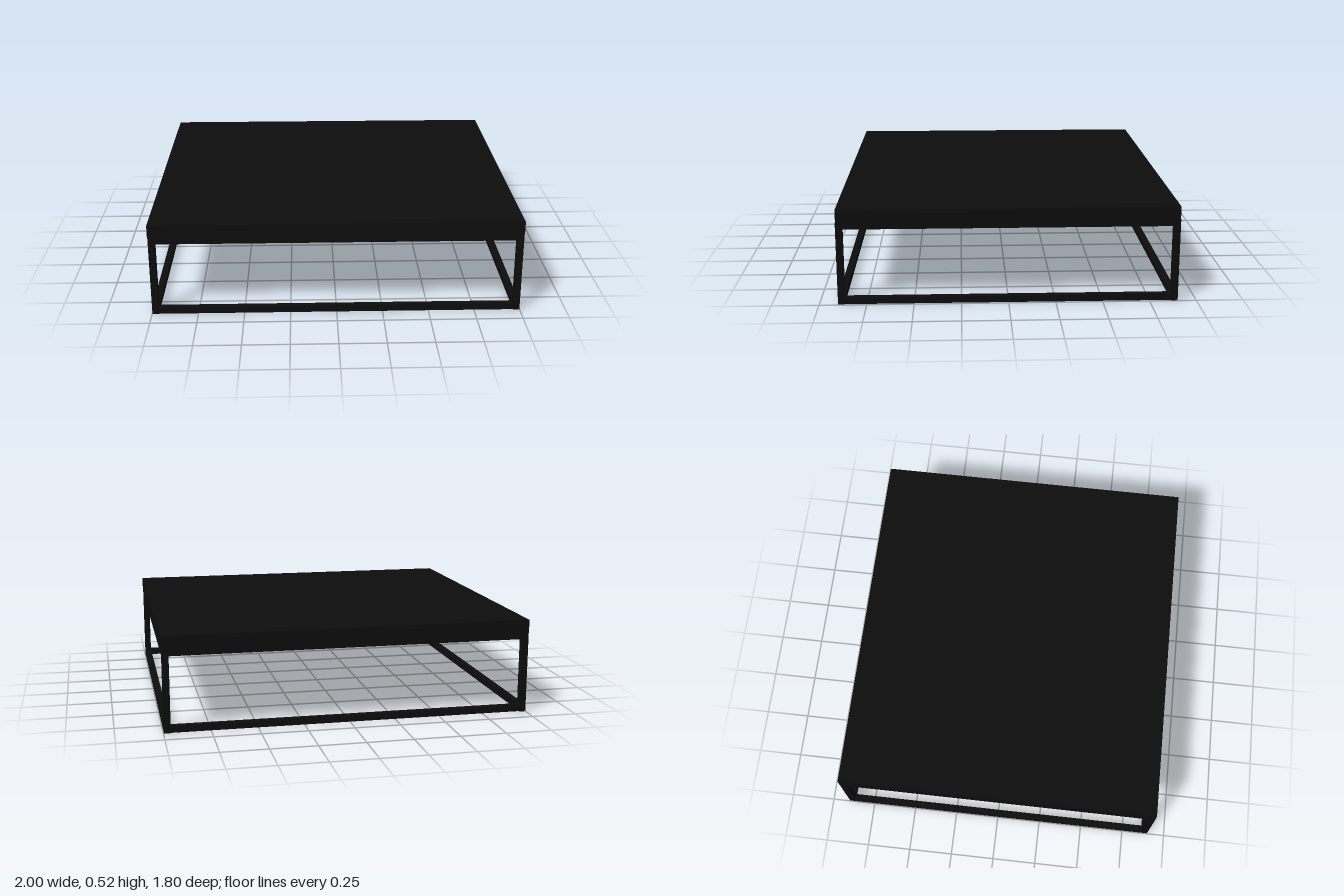
import * as THREE from 'three';

export function createModel() {
  const model = new THREE.Group();
  model.name = 'coffeeTable';
  const black = new THREE.MeshStandardMaterial({ color: 0x0d0d0d });

  // Box given by its size, centre x and z, and bottom height
  const addBox = (name, parent, [w, h, d], [x, y, z]) => {
    const mesh = new THREE.Mesh(new THREE.BoxGeometry(w, h, d), black);
    mesh.name = name;
    mesh.position.set(x, y + h / 2, z);
    parent.add(mesh);
  };

  const bar = 0.036; // square tube section
  const halfX = 0.998, halfZ = 0.9; // outer half sizes of the frame
  const cx = halfX - bar / 2, cz = halfZ - bar / 2;
  const base = 0.004, frameTop = 0.45;

  // Tabletop slab
  addBox('tabletop', model, [2, 0.52 - frameTop, 1.796], [0, frameTop, 0]);

  // Open frame: lower and upper rails, corner legs
  const frame = new THREE.Group();
  frame.name = 'frame';
  model.add(frame);
  for (const [level, y] of [['lower', base], ['upper', frameTop - bar]]) {
    for (const s of [-1, 1]) {
      addBox(level + 'LongRail', frame, [2 * halfX, bar, bar], [0, y, s * cz]);
      addBox(level + 'SideRail', frame, [bar, bar, 2 * (halfZ - bar)], [s * cx, y, 0]);
    }
  }
  for (const sx of [-1, 1]) {
    for (const sz of [-1, 1]) {
      addBox('leg', frame, [bar, frameTop - base - 2 * bar, bar], [sx * cx, base + bar, sz * cz]);
      // Thin floor pad under each corner
      addBox('floorPad', frame, [bar * 0.8, base, bar * 0.8], [sx * cx, 0, sz * cz]);
    }
  }
  return model;
}
